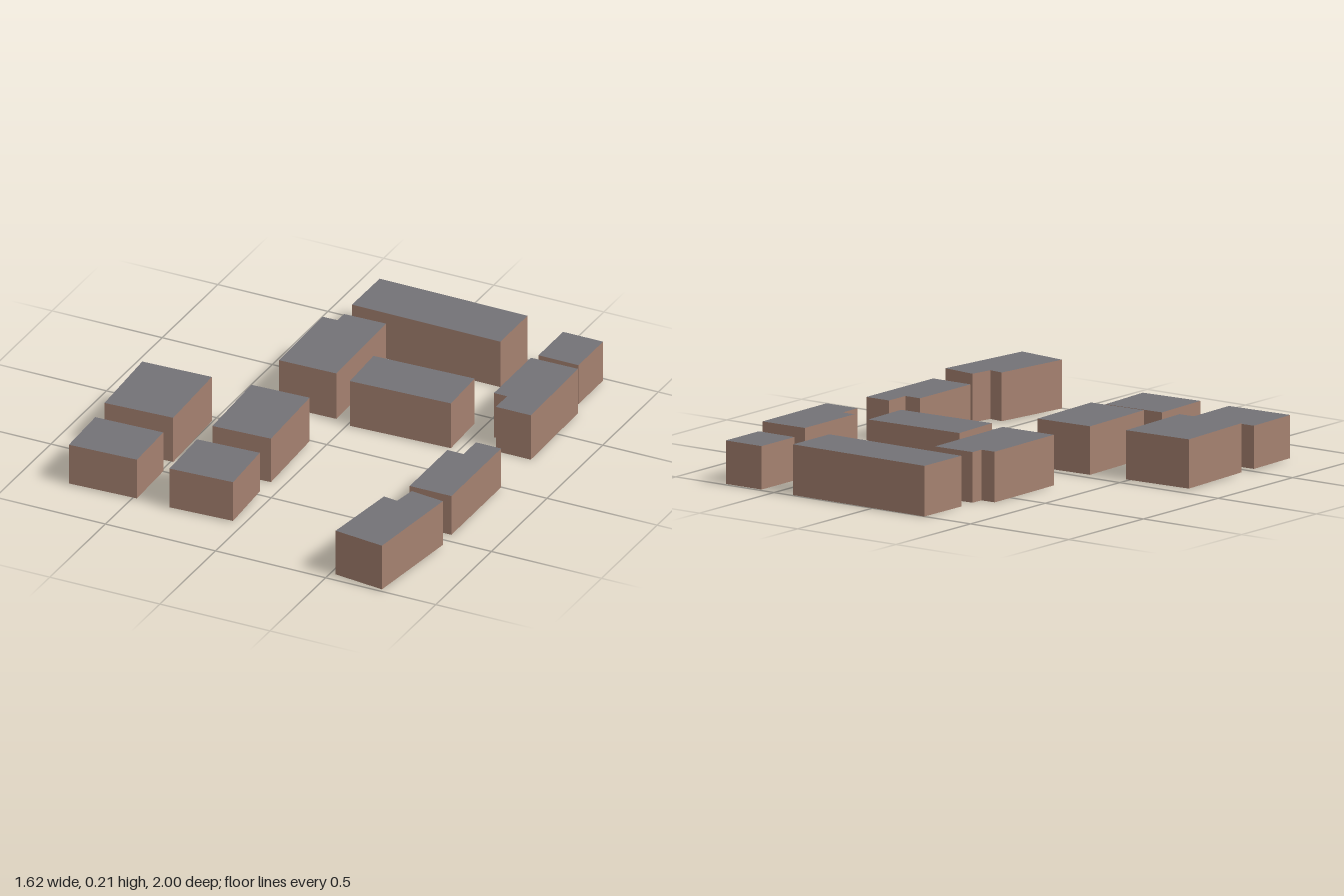
import * as THREE from 'three';

const wallMat = new THREE.MeshStandardMaterial({ color: 0xa58170, side: THREE.DoubleSide });
wallMat.name = 'brownWall';
const roofMat = new THREE.MeshStandardMaterial({ color: 0x737277, side: THREE.DoubleSide });
roofMat.name = 'greyRoof';

// Footprints as [x, z] corners, clockwise seen from above
const buildings = [
  { name: 'longBackBlock', base: 0, top: 0.21, plan: [[-0.265, -1], [0.41, -0.992], [0.41, -0.748], [-0.267, -0.755]] },
  { name: 'backShed', base: 0, top: 0.18, plan: [[0.575, -0.985], [0.757, -0.985], [0.757, -0.763], [0.575, -0.765]] },
  { name: 'backLeftHouse', base: 0, top: 0.205, plan: [[0.577, -0.692], [0.79, -0.695], [0.795, -0.26], [0.637, -0.26], [0.636, -0.36], [0.577, -0.36]] },
  { name: 'backRightHouse', base: 0, top: 0.21, plan: [[-0.327, -0.61], [-0.26, -0.612], [-0.26, -0.67], [-0.072, -0.675], [-0.063, -0.21], [-0.32, -0.205]] },
  { name: 'middleBlock', base: 0.003, top: 0.21, plan: [[0.005, -0.41], [0.457, -0.425], [0.465, -0.195], [0.015, -0.178]] },
  { name: 'outerRightHouse', base: 0.006, top: 0.21, plan: [[-0.81, 0.055], [-0.5, 0.043], [-0.485, 0.42], [-0.79, 0.434]] },
  { name: 'innerRightHouse', base: 0.006, top: 0.207, plan: [[-0.33, 0.025], [-0.07, 0.015], [-0.055, 0.393], [-0.315, 0.405]] },
  { name: 'leftHouse', base: 0.006, top: 0.185, plan: [[0.608, 0.12], [0.682, 0.12], [0.682, 0.01], [0.797, 0.01], [0.797, 0.458], [0.608, 0.458]] },
  { name: 'innerFrontHouse', base: 0.006, top: 0.185, plan: [[-0.338, 0.497], [-0.06, 0.483], [-0.045, 0.753], [-0.327, 0.767]] },
  { name: 'outerFrontHouse', base: 0.006, top: 0.185, plan: [[-0.79, 0.517], [-0.486, 0.507], [-0.478, 0.76], [-0.781, 0.772]] },
  { name: 'frontLeftHouse', base: 0.008, top: 0.21, plan: [[0.575, 0.624], [0.639, 0.632], [0.655, 0.533], [0.806, 0.552], [0.754, 0.997], [0.53, 0.969]] },
];

// Ring of flat wall panels, open at the bottom
function wallGeometry(plan, base, top) {
  const points = [];
  plan.forEach(([ax, az], i) => {
    const [bx, bz] = plan[(i + 1) % plan.length];
    points.push(ax, base, az, ax, top, az, bx, top, bz);
    points.push(ax, base, az, bx, top, bz, bx, base, bz);
  });
  const geometry = new THREE.BufferGeometry();
  geometry.setAttribute('position', new THREE.Float32BufferAttribute(points, 3));
  geometry.computeVertexNormals();
  return geometry;
}

// Flat roof filling the footprint
function roofGeometry(plan, top) {
  const shape = new THREE.Shape(plan.map(([x, z]) => new THREE.Vector2(x, -z)));
  return new THREE.ShapeGeometry(shape).rotateX(-Math.PI / 2).translate(0, top, 0);
}

export function createModel() {
  const model = new THREE.Group();
  model.name = 'buildingCluster';
  for (const { name, base, top, plan } of buildings) {
    const building = new THREE.Group();
    building.name = name;
    const walls = new THREE.Mesh(wallGeometry(plan, base, top), wallMat);
    walls.name = 'walls';
    const roof = new THREE.Mesh(roofGeometry(plan, top), roofMat);
    roof.name = 'roof';
    building.add(walls, roof);
    model.add(building);
  }
  return model;
}
